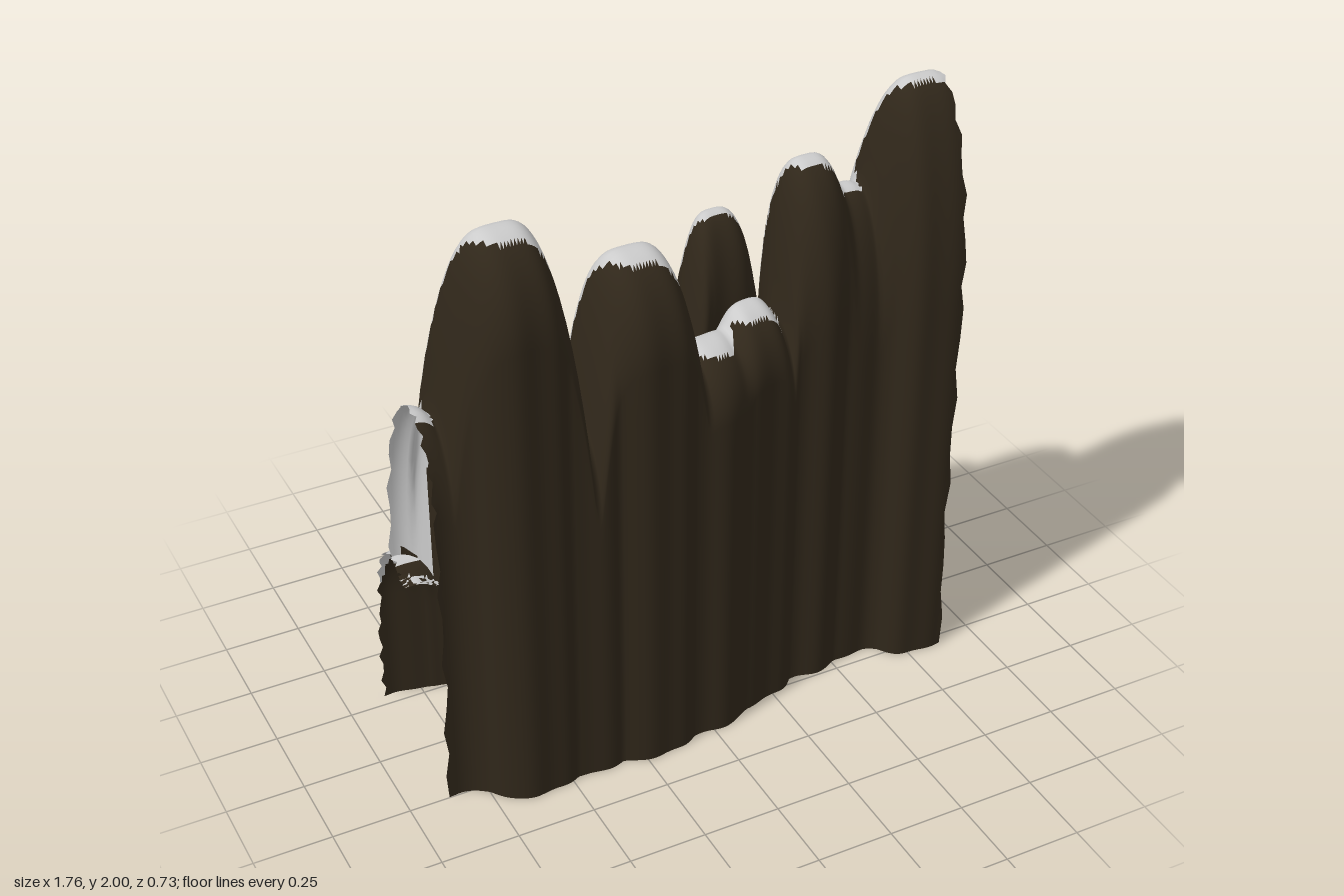
import * as THREE from 'three';

// Columns of each ridge: x, radius, height, crest z, front z, back z, front dome depth, back dome depth
const FRONT = [
  [-0.89, 0.19, 1.33, 0.10, 0.25, -0.15, 0.3, 0.72],
  [-0.60, 0.20, 1.89, 0.17, 0.365, 0.00, 0.3, 0.65],
  [-0.40, 0.13, 1.21, 0.15, 0.35, 0.01, 0.3, 0.5],
  [-0.20, 0.20, 1.72, 0.17, 0.37, 0.00, 0.3, 0.6],
  [0.05, 0.19, 1.35, 0.17, 0.34, 0.01, 0.2, 0.4],
  [0.21, 0.16, 1.40, 0.10, 0.27, 0.00, 0.2, 0.4],
  [0.45, 0.15, 1.79, 0.03, 0.24, -0.12, 0.5, 0.6],
  [0.57, 0.15, 1.67, 0.03, 0.20, -0.11, 0.5, 0.55],
  [0.80, 0.20, 2.00, 0.08, 0.29, -0.08, 0.7, 0.6],
];
const BACK = [
  [-0.82, 0.22, 0.65, -0.15, -0.03, -0.29, 0.2, 0.25],
  [-0.60, 0.20, 0.67, -0.13, -0.03, -0.25, 0.2, 0.3],
  [-0.33, 0.18, 0.87, -0.13, -0.02, -0.24, 0.25, 0.35],
  [-0.05, 0.17, 1.03, -0.15, -0.02, -0.265, 0.25, 0.6],
  [0.12, 0.13, 1.20, -0.14, -0.02, -0.27, 0.25, 0.6],
  [0.25, 0.15, 1.56, -0.18, -0.06, -0.285, 0.3, 0.4],
  [0.46, 0.16, 1.21, -0.13, -0.05, -0.30, 0.25, 0.6],
  [0.63, 0.15, 1.19, -0.13, -0.05, -0.23, 0.25, 0.6],
  [0.86, 0.20, 1.31, -0.12, -0.03, -0.36, 0.25, 0.85],
];
// Floor of the valley between the ridges: x, height
const VALLEY = [
  [-0.86, 0.62], [-0.72, 0.58], [-0.60, 0.38], [-0.48, 0], [-0.42, 0.4], [-0.28, 0.76],
  [-0.17, 0], [-0.10, 0.7], [0.03, 0.98], [0.15, 0.92], [0.30, 1.0], [0.40, 1.12], [0.90, 1.12],
];

const rock = new THREE.MeshStandardMaterial({ color: 0x30271a, side: THREE.DoubleSide });
const snow = new THREE.MeshStandardMaterial({ color: 0xcccccc, side: THREE.DoubleSide });

function valleyFloor(x) {
  const i = VALLEY.findIndex((p) => p[0] > x);
  const [x0, y0] = VALLEY[Math.max(i - 1, 0)];
  const [x1, y1] = VALLEY[i];
  return y0 + (y1 - y0) * THREE.MathUtils.smoothstep(x, x0, x1);
}

// Cross-section parameters of a ridge at x, blended from its columns
function section(columns, x) {
  let sum = 0, heightSum = 0, nearest = Infinity;
  const p = [0, 0, 0, 0, 0];
  for (const [cx, r, h, ...shape] of columns) {
    const t = Math.abs(x - cx) / r;
    const w = Math.exp(-3 * t * t) + 1e-9;
    sum += w;
    shape.forEach((s, i) => { p[i] += s * w; });
    heightSum += Math.exp(40 * (h - 0.65 * t ** 3.7));
    nearest = Math.min(nearest, t);
  }
  const [crest, front, back, frontDome, backDome] = p.map((v) => v / sum);
  const groove = 0.05 * Math.min(nearest, 1.1) ** 2.2;
  const ripple = 0.004 * Math.sin(47 * x);
  return {
    height: Math.log(heightSum) / 40, crest, frontDome, backDome,
    front: front - groove + ripple, back: back + groove * 0.9 + ripple,
  };
}

// Open-bottomed arch lofted along x, split into bare rock and snow
function ridge(name, columns, innerIsBack, snowLine) {
  const NX = 170, WALL = 12, DOME = 14, HALF = WALL + DOME, NJ = 2 * HALF;
  const positions = [], index = [], heights = [];
  for (let i = 0; i <= NX; i++) {
    const x = -0.86 + 1.72 * i / NX;
    const s = section(columns, x);
    heights.push(s.height);
    const floor = Math.min(valleyFloor(x), s.height - 0.04);
    for (let j = 0; j <= NJ; j++) {
      const isBack = j > HALF;
      const k = isBack ? NJ - j : j;
      const edge = isBack ? s.back : s.front;
      const depth = isBack ? s.backDome : s.frontDome;
      let y, z;
      if (k <= WALL) {
        y = (s.height - depth) * k / WALL;
        z = edge;
      } else {
        const a = (k - WALL) / DOME * Math.PI / 2;
        y = s.height - depth + depth * Math.sin(a);
        z = s.crest + (edge - s.crest) * Math.cos(a);
      }
      // inner walls stop at the valley floor and meet along its middle
      if (innerIsBack === isBack) {
        y = Math.max(y, floor);
        if (k === 0 && floor > 0.05) z = x > 0.33 ? -0.07 : x < -0.74 ? -0.1 : -0.015;
      }
      // ragged open ends
      const ragged = i === 0 || i === NX ? 0.008 * Math.sin(j * 2.3) + (y < 0.3 ? 0.01 : 0) : 0;
      positions.push(x + (i ? ragged : -ragged), y, z);
    }
  }
  for (let i = 0; i < NX; i++) {
    for (let j = 0; j < NJ; j++) {
      const a = i * (NJ + 1) + j, b = a + NJ + 1;
      index.push(a, b, b + 1, a, b + 1, a + 1);
    }
  }
  const whole = new THREE.BufferGeometry();
  whole.setAttribute('position', new THREE.Float32BufferAttribute(positions, 3));
  whole.setIndex(index);
  whole.computeVertexNormals();
  const normal = whole.getAttribute('normal');

  // snow lies on tops and rear slopes above a jagged line
  const faces = { rock: [], snow: [] };
  for (let f = 0; f < index.length; f += 3) {
    const corners = index.slice(f, f + 3);
    let x = 0, y = 0, facing = 0;
    for (const c of corners) {
      x += positions[3 * c] / 3;
      y += positions[3 * c + 1] / 3;
      facing += (0.9 * normal.getY(c) - normal.getZ(c) + 0.3 * normal.getX(c)) / 3;
    }
    const h = heights[Math.floor(corners[0] / (NJ + 1))];
    const line = snowLine(x, h) + 0.05 * Math.sin(37 * x) + 0.04 * Math.sin(61 * x + 1);
    faces[y > line && facing > 0.25 ? 'snow' : 'rock'].push(...corners);
  }
  const group = new THREE.Group();
  group.name = name;
  for (const [part, material] of [['rock', rock], ['snow', snow]]) {
    const geometry = new THREE.BufferGeometry();
    geometry.setAttribute('position', whole.getAttribute('position'));
    geometry.setAttribute('normal', normal);
    geometry.setIndex(faces[part]);
    const mesh = new THREE.Mesh(geometry, material);
    mesh.name = name + (part === 'rock' ? 'Rock' : 'Snow');
    group.add(mesh);
  }
  return group;
}

export function createModel() {
  const model = new THREE.Group();
  model.name = 'snowyCliff';
  model.add(
    ridge('frontRidge', FRONT, true, (x) => (x < -0.76 ? 0.6 : x > 0.35 ? 1.0 : 1.05)),
    ridge('backRidge', BACK, false, (x, h) => h * (x > 0.35 ? 0.82 : 0.76)),
  );
  return model;
}
